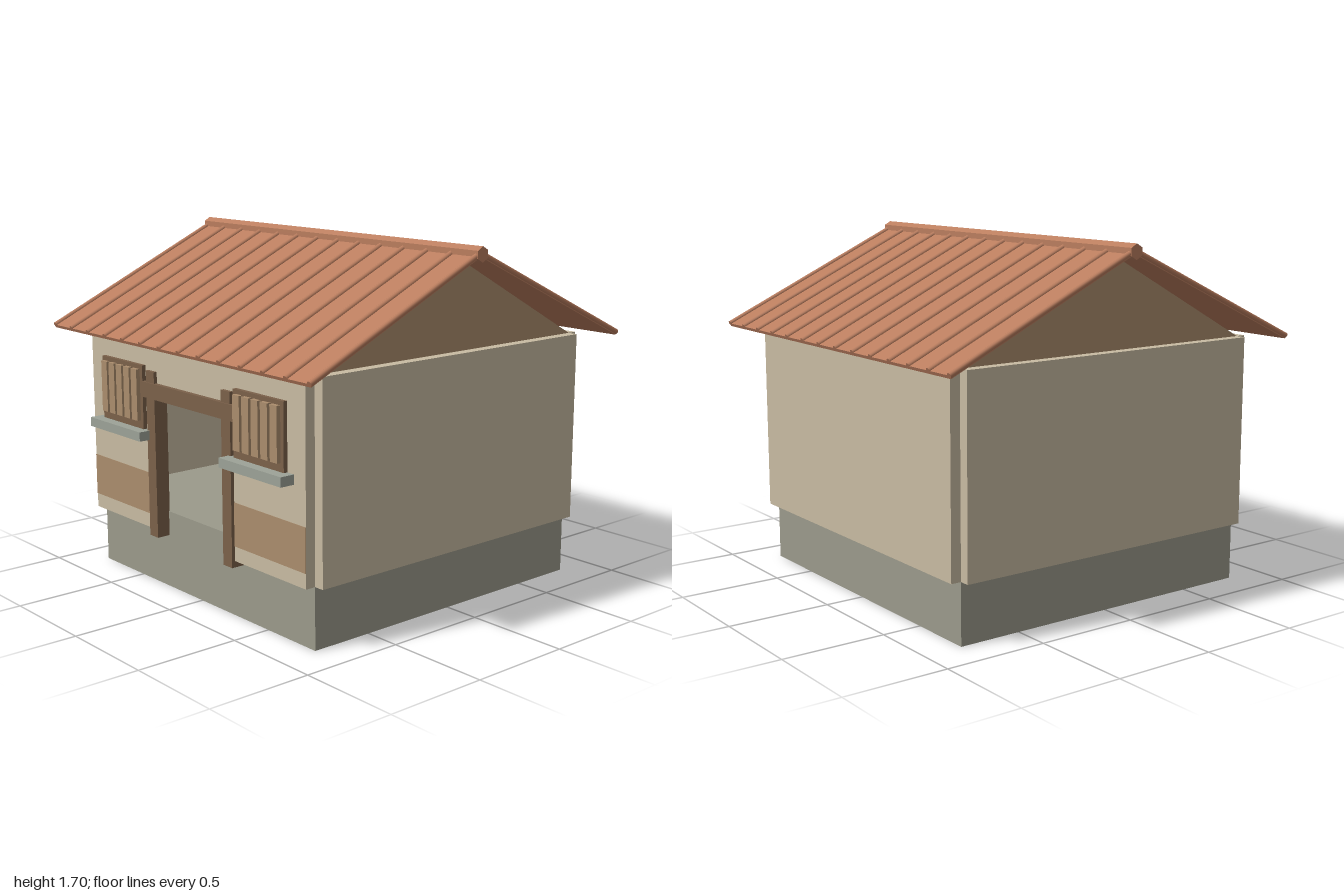
import * as THREE from 'three';

const mat = (name, color) => {
  const m = new THREE.MeshStandardMaterial({ color });
  m.name = name;
  return m;
};

export function createModel() {
  const roofTile = mat('terracotta', 0xba7d5e);
  const plaster = mat('plaster', 0xc8bba2);
  const clay = mat('clay', 0xab8d6d);
  const wood = mat('dark wood', 0x7b614a);
  const stone = mat('stone', 0x9b9a8b);
  const sillStone = mat('sill stone', 0x9da398);

  const model = new THREE.Group();
  model.name = 'house';

  const add = (name, geo, material, parent = model) => {
    const mesh = new THREE.Mesh(geo, material);
    mesh.name = name;
    parent.add(mesh);
    return mesh;
  };
  // Box given by its extents on each axis
  const box = (name, material, [x0, x1], [y0, y1], [z0, z1], parent = model) => {
    const mesh = add(name, new THREE.BoxGeometry(x1 - x0, y1 - y0, z1 - z0), material, parent);
    mesh.position.set((x0 + x1) / 2, (y0 + y1) / 2, (z0 + z1) / 2);
    return mesh;
  };

  // Foundation with raised floor
  box('foundation', stone, [-0.825, 0.825], [0, 0.38], [-0.81, 0.81]);

  // Back and side walls, with notched corners
  box('backWall', plaster, [-0.825, 0.825], [0.29, 1.21], [-0.86, -0.81]);
  box('leftWall', plaster, [0.825, 0.875], [0.29, 1.21], [-0.81, 0.81]);
  box('rightWall', plaster, [-0.875, -0.825], [0.29, 1.21], [-0.81, 0.81]);

  // Front wall around the doorway
  const front = new THREE.Shape([
    [-0.825, 0.29], [-0.29, 0.29], [-0.29, 0.98], [0.29, 0.98],
    [0.29, 0.29], [0.825, 0.29], [0.825, 1.21], [-0.825, 1.21],
  ].map(([x, y]) => new THREE.Vector2(x, y)));
  add('frontWall', new THREE.ExtrudeGeometry(front, { depth: 0.05, bevelEnabled: false }), plaster)
    .position.z = 0.81;

  // Gable block under the roof
  const gable = new THREE.Shape([
    new THREE.Vector2(-0.81, 1.21), new THREE.Vector2(0.81, 1.21), new THREE.Vector2(0, 1.648),
  ]);
  const gableGeo = new THREE.ExtrudeGeometry(gable, { depth: 1.65, bevelEnabled: false });
  gableGeo.translate(0, 0, -0.825).rotateY(Math.PI / 2);
  add('gable', gableGeo, clay);

  // Door frame
  box('doorLintel', wood, [-0.36, 0.36], [0.94, 1.015], [0.815, 0.883]);
  for (const s of [-1, 1]) {
    const cx = s * 0.295;
    box('doorPost', wood, [cx - 0.033, cx + 0.033], [0.26, 1.07], [0.806, 0.877]);

    // Painted band on the lower wall
    const bx = s * 0.56;
    box('wallBand', clay, [bx - 0.265, bx + 0.265], [0.36, 0.565], [0.855, 0.862]);

    // Window with shutter slats and sill
    const win = new THREE.Group();
    win.name = 'window';
    win.position.x = s * 0.53;
    model.add(win);
    box('windowFrame', wood, [-0.175, 0.175], [0.78, 1.09], [0.855, 0.88], win);
    for (let i = -2; i <= 2; i++) {
      const x = i * 0.065;
      box('windowSlat', clay, [x - 0.024, x + 0.024], [0.82, 1.07], [0.875, 0.9], win);
    }
    box('windowSill', sillStone, [-0.218, 0.218], [0.735, 0.78], [0.855, 0.932], win);
  }

  // Two roof slopes, each a sheet with round ribs
  const length = 1.07;
  const ribGeo = new THREE.CylinderGeometry(0.013, 0.013, length, 8);
  ribGeo.rotateX(Math.PI / 2).translate(0, 0.004, length / 2);
  for (const [name, turn] of [['frontRoof', 0], ['backRoof', Math.PI]]) {
    const slope = new THREE.Group();
    slope.name = name;
    slope.rotation.set(0.434, turn, 0, 'YXZ');
    slope.position.y = 1.665;
    model.add(slope);
    box('roofSheet', roofTile, [-0.988, 0.988], [-0.012, 0.004], [0, length], slope);
    for (let i = 0; i < 14; i++) {
      add('roofRib', ribGeo, roofTile, slope).position.x = -0.985 + i * 0.1515;
    }
  }

  // Six-sided ridge cap
  const ridge = new THREE.CylinderGeometry(0.036, 0.036, 2, 6).toNonIndexed();
  ridge.computeVertexNormals();
  ridge.rotateZ(Math.PI / 2).rotateX(Math.PI / 2);
  add('ridgeCap', ridge, roofTile).position.y = 1.664;

  return model;
}
